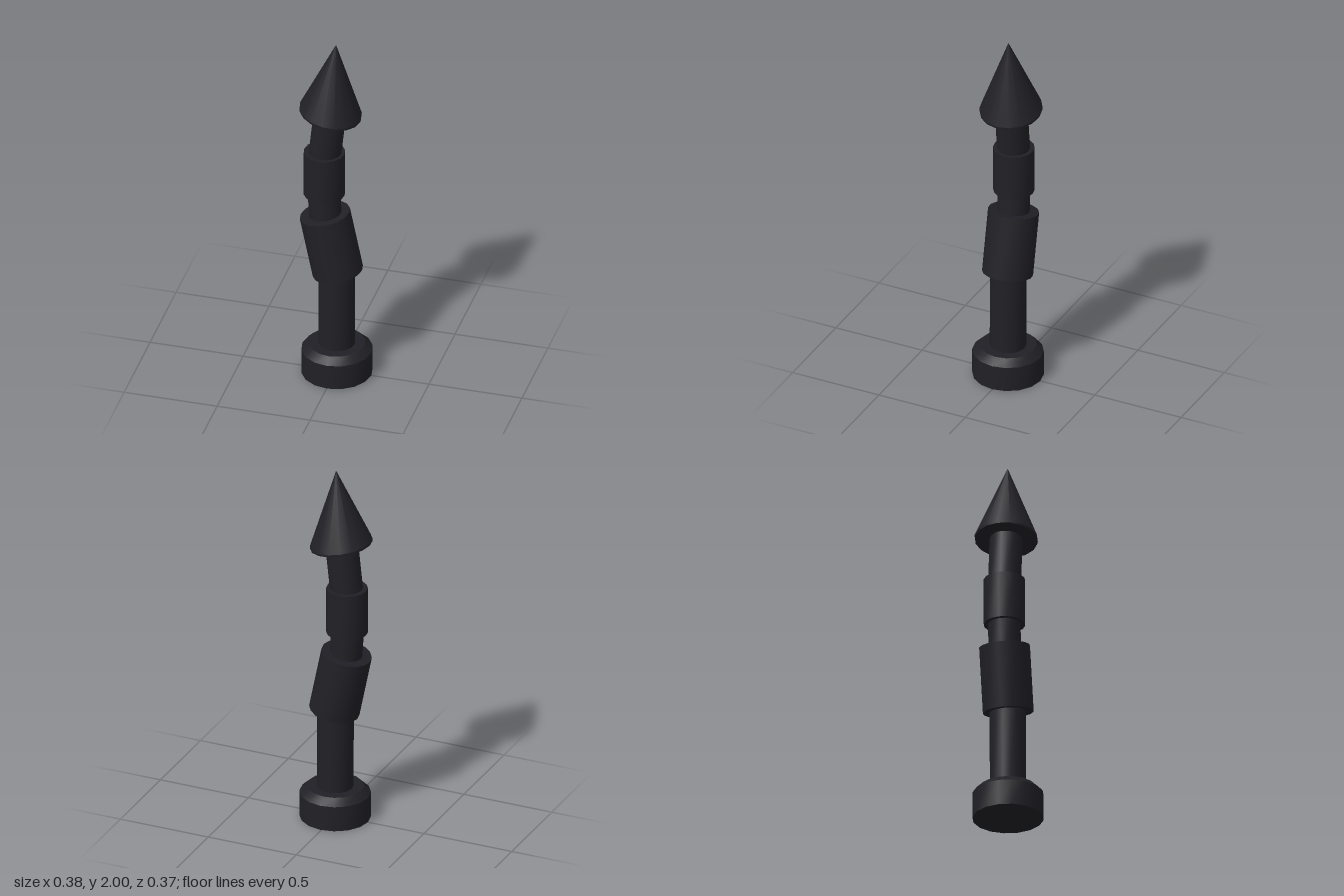
import * as THREE from 'three';
import { toCreasedNormals } from 'three/addons/utils/BufferGeometryUtils.js';

const SIDES = 16;

export function createModel() {
  const model = new THREE.Group();
  model.name = 'bentTower';
  const dark = new THREE.MeshStandardMaterial({ color: 0x212026 });

  // Round section from a lower ring to an upper ring; each ring is
  // [centre x, centre y, radius, tilt about z in degrees].
  function section(name, lower, upper) {
    const geometry = new THREE.CylinderGeometry(upper[2], lower[2], 1, SIDES);
    const pos = geometry.attributes.position;
    for (let i = 0; i < pos.count; i++) {
      const [cx, cy, , tilt] = pos.getY(i) > 0 ? upper : lower;
      const a = THREE.MathUtils.degToRad(tilt);
      const x = pos.getX(i);
      pos.setXY(i, cx + x * Math.cos(a), cy + x * Math.sin(a));
    }
    const mesh = new THREE.Mesh(toCreasedNormals(geometry, 0.6), dark);
    mesh.name = name;
    model.add(mesh);
  }

  // Foot with a chamfered top
  section('foot', [0.005, 0.003, 0.186, 0.5], [0.005, 0.142, 0.186, 0.5]);
  section('footChamfer', [0.005, 0.142, 0.186, 0.5], [0.004, 0.178, 0.148, 0.5]);

  // Lower shaft and leaning sleeve
  section('lowerShaft', [0.005, 0.15, 0.095, 0], [0.003, 0.66, 0.095, 0]);
  section('leaningSleeve', [0.01, 0.613, 0.133, 11.6], [-0.06, 0.955, 0.133, 11.6]);

  // Narrow neck, upright collar and upper neck
  section('middleNeck', [-0.055, 0.92, 0.085, 4], [-0.066, 1.1, 0.085, 4]);
  section('collar', [-0.0625, 1.08, 0.108, 0], [-0.0625, 1.335, 0.108, 0]);
  section('upperNeck', [-0.062, 1.3, 0.086, -6], [-0.03, 1.6, 0.086, -6]);

  // Pointed cap with a thin rim
  section('capRim', [-0.03, 1.578, 0.164, -9.5], [-0.029, 1.59, 0.165, -9.5]);
  section('cap', [-0.029, 1.59, 0.165, -9.5], [0, 2, 0, 0]);

  return model;
}
